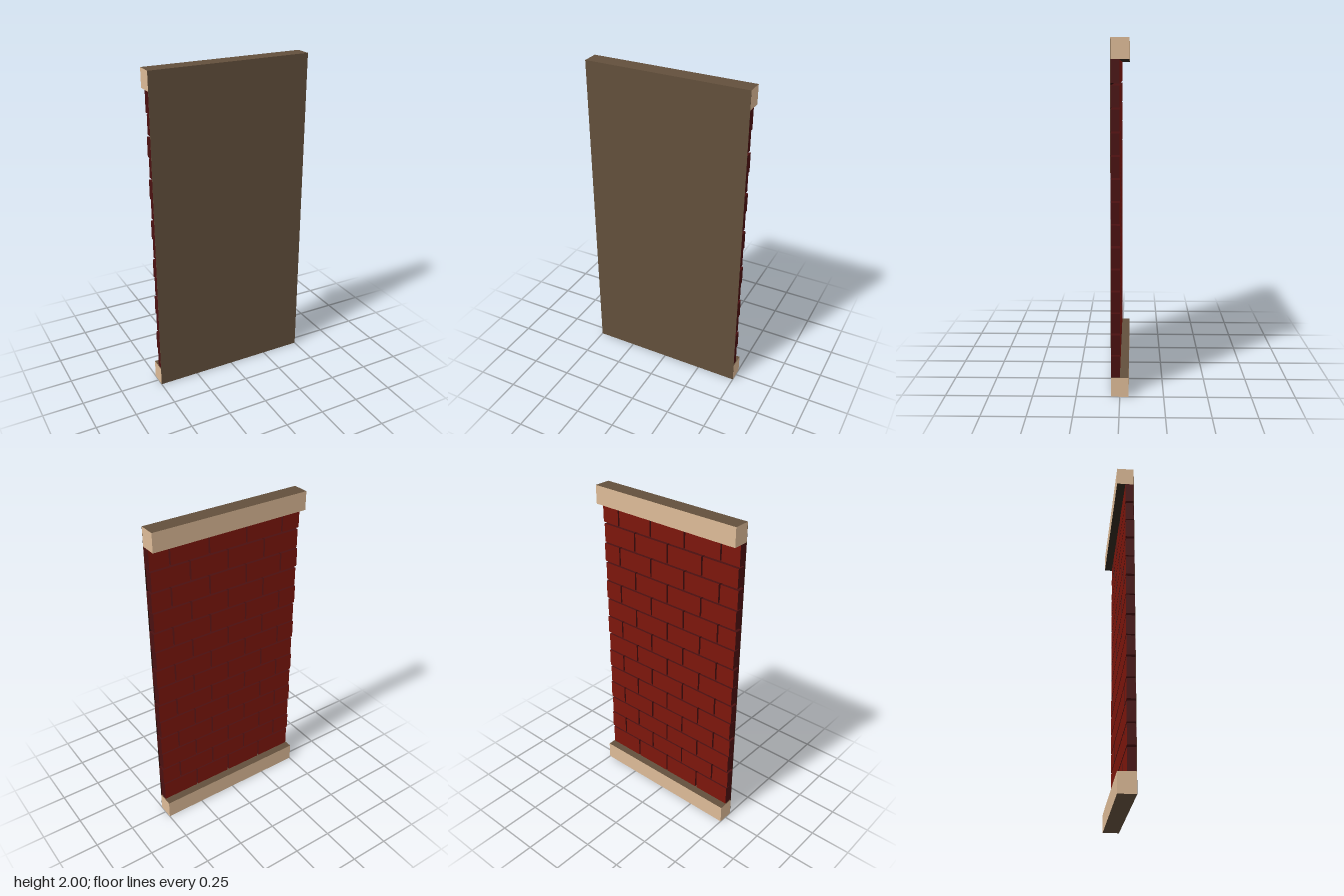
import * as THREE from 'three';

const mat = (color) => new THREE.MeshStandardMaterial({ color });

export function createModel() {
  const group = new THREE.Group();
  const tan = mat(0xddbb97), brown = mat(0x63503c), shade = mat(0x30281e);
  const brickFace = mat(0x7d160c), brickSide = mat(0x4a1010), mortar = mat(0x2a0605);

  // Box given by its limits; materials ordered +x, -x, +y, -y, +z, -z
  function addBox(name, x0, x1, y0, y1, z0, z1, materials) {
    const mesh = new THREE.Mesh(new THREE.BoxGeometry(x1 - x0, y1 - y0, z1 - z0), materials);
    mesh.position.set((x0 + x1) / 2, (y0 + y1) / 2, (z0 + z1) / 2);
    mesh.name = name;
    group.add(mesh);
  }

  // Flat sheet closing the front, dark behind the brick joints
  addBox('frontPanel', -0.5, 0.5, 0, 2, 0.049, 0.051,
    [brown, brown, brown, brown, brown, mortar]);

  // Rails along the bottom and top edges
  const railBottom = 0.115, railTop = 1.888;
  addBox('bottomRail', -0.5, 0.5, 0, railBottom, -0.05, 0.049,
    [tan, tan, brown, brown, brown, tan]);
  addBox('topRail', -0.5, 0.5, railTop, 2, -0.05, 0.049,
    [tan, tan, brown, shade, brown, tan]);

  // Brickwork in running bond on the back
  const rows = 14, pitch = 0.126, length = 0.25, gap = 0.011;
  const brickMaterials = [brickSide, brickSide, brickSide, brickSide, brickSide, brickFace];
  for (let r = 0; r < rows; r++) {
    const y = 1.003 + (r - (rows - 1) / 2) * pitch;
    const half = (pitch - gap) / 2;
    const y0 = r === 0 ? railBottom : y - half;
    const y1 = r === rows - 1 ? railTop : y + half;
    const staggered = r % 2 === 1;
    const count = staggered ? 5 : 4;
    for (let i = 0; i < count; i++) {
      const x = (i - (count - 1) / 2) * length;
      const reach = (length - gap) / 2;
      // Staggered rows end in half bricks cut flush with the edge
      addBox('brick', Math.max(-0.5, x - reach), Math.min(0.5, x + reach),
        y0, y1, 0, 0.049, brickMaterials);
    }
  }
  return group;
}
